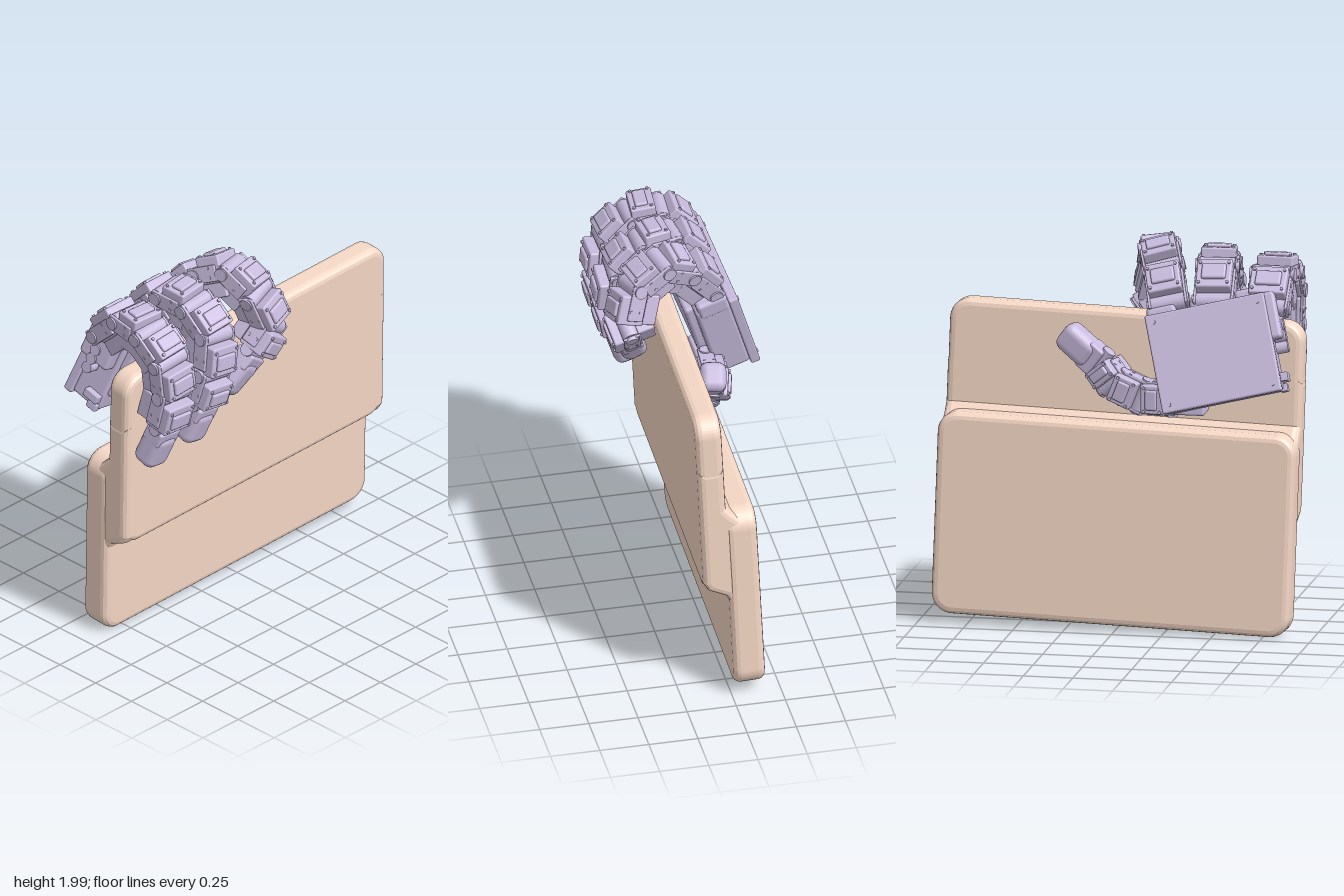
import * as THREE from 'three';
import { RoundedBoxGeometry } from 'three/addons/geometries/RoundedBoxGeometry.js';

const tan = new THREE.MeshStandardMaterial({ color: 0xf6d8c6 });
const lilac = new THREE.MeshStandardMaterial({ color: 0xc8bcde });
const V = (x, y, z) => new THREE.Vector3(x, y, z);

function add(parent, name, geometry, x, y, z, material = lilac) {
  const mesh = new THREE.Mesh(geometry, material);
  mesh.name = name;
  mesh.position.set(x, y, z);
  parent.add(mesh);
  return mesh;
}
const box = (p, name, w, h, d, x, y, z, r = 0.012) =>
  add(p, name, new RoundedBoxGeometry(w, h, d, 2, r), x, y, z);

// Cylinder lying along the local axis 'x', 'y' or 'z'
function disc(p, name, radius, length, axis, x, y, z) {
  const g = new THREE.CylinderGeometry(radius, radius, length, 16);
  if (axis === 'x') g.rotateZ(Math.PI / 2);
  if (axis === 'z') g.rotateX(Math.PI / 2);
  return add(p, name, g, x, y, z);
}

// Group at a point whose axes are the given width axis, y direction, and their normal
function frame(name, origin, widthAxis, along) {
  const y = along.clone().normalize();
  const x = widthAxis.clone().addScaledVector(y, -widthAxis.dot(y)).normalize();
  const g = new THREE.Group();
  g.name = name;
  g.quaternion.setFromRotationMatrix(new THREE.Matrix4().makeBasis(x, y, x.clone().cross(y)));
  g.position.copy(origin);
  return g;
}

// Rounded slab standing in the y-z plane, from x0 to x1
function board(parent, name, x0, x1, y0, y1, width) {
  const bevel = 0.035, r = 0.07;
  const w = width / 2 - bevel, lo = y0 + bevel, hi = y1 - bevel;
  const s = new THREE.Shape();
  s.moveTo(-w + r, lo);
  s.lineTo(w - r, lo).absarc(w - r, lo + r, r, -Math.PI / 2, 0, false);
  s.lineTo(w, hi - r).absarc(w - r, hi - r, r, 0, Math.PI / 2, false);
  s.lineTo(-w + r, hi).absarc(-w + r, hi - r, r, Math.PI / 2, Math.PI, false);
  s.lineTo(-w, lo + r).absarc(-w + r, lo + r, r, Math.PI, Math.PI * 1.5, false);
  const g = new THREE.ExtrudeGeometry(s, {
    depth: x1 - x0 - 2 * bevel, bevelThickness: bevel, bevelSize: bevel, bevelSegments: 3, curveSegments: 6
  });
  g.translate(0, 0, x0 + bevel).rotateY(Math.PI / 2);
  add(parent, name, g, 0, 0, 0, tan);
}

function buildBoards() {
  const boards = new THREE.Group();
  boards.name = 'boards';
  boards.position.y = 0.8;
  boards.rotation.set(0.028, -0.02, -0.044);
  board(boards, 'upperBoard', -0.005, 0.13, -0.205, 0.79, 1.8);
  board(boards, 'lowerBoard', -0.155, 0.005, -0.78, 0.24, 1.82);
  // Stepped core that merges the two slabs, with sloped fillets at both steps
  const profile = [[-0.155, -0.4], [0.005, -0.4], [0.005, -0.27], [0.02, -0.24], [0.108, -0.195],
    [0.13, -0.155], [0.13, 0.5], [-0.005, 0.5], [-0.005, 0.27], [-0.035, 0.235], [-0.1, 0.17], [-0.155, 0.08]];
  const g = new THREE.ExtrudeGeometry(new THREE.Shape(profile.map(p => new THREE.Vector2(...p))), {
    depth: 1.735, bevelThickness: 0.035, bevelSize: 0.035, bevelOffset: -0.035, bevelSegments: 3
  });
  add(boards, 'joiningCore', g, 0, 0, -0.8675, tan);
  return boards;
}

// One motor joint: casing, inner bracket, side brackets, pivot and screws
function link(parent, a, b, ref, width, depth) {
  const dir = b.clone().sub(a), len = dir.length();
  const g = frame('fingerLink', a, ref, dir);
  box(g, 'motorCase', width * 0.86, len * 0.78, depth, 0, len * 0.54, 0.012, 0.01);
  box(g, 'motorCap', width * 0.6, len * 0.4, 0.03, 0, len * 0.56, 0.012 + depth / 2, 0.01);
  box(g, 'innerBracket', width * 0.7, len * 0.8, 0.12, 0, len * 0.5, -0.075, 0.008);
  for (const s of [-1, 1]) {
    box(g, 'sideBracket', 0.014, len * 0.95, depth * 0.6, s * width * 0.46, len * 0.32, -0.005, 0.005);
    disc(g, 'pivotDisc', depth * 0.24, 0.02, 'x', s * width * 0.49, 0, -0.005);
    for (const t of [-1, 1]) {
      disc(g, 'screw', 0.008, 0.012, 'z', s * width * 0.35, len * (0.54 + t * 0.27), 0.014 + depth / 2);
      disc(g, 'sideScrew', 0.008, 0.012, 'x', s * width * 0.48, len * 0.55, t * 0.025);
    }
  }
  disc(g, 'pivotPin', depth * 0.3, width * 0.85, 'x', 0, 0, -0.005);
  parent.add(g);
}

// Chain of links through the points, with a rounded pad on the last one
function finger(name, points, ref, width, depth) {
  const g = new THREE.Group();
  g.name = name;
  const p = points.map(q => V(...q)), n = p.length - 1;
  for (let i = 0; i < n - 1; i++) link(g, p[i], p[i + 1], ref, width, depth);
  const dir = p[n].clone().sub(p[n - 1]), len = dir.length();
  const tip = frame('fingertip', p[n - 1], ref, dir);
  box(tip, 'tipPad', 0.15, len * 0.85, 0.135, 0, len * 0.575, 0, 0.045);
  box(tip, 'tipSocket', 0.15, len * 0.35, 0.11, 0, len * 0.2, 0);
  disc(tip, 'tipPivot', 0.035, 0.17, 'x', 0, 0, 0);
  g.add(tip);
  return g;
}

function buildPalm() {
  // Local x runs across the knuckles, y toward the fingers, z out of the back of the hand
  const palm = frame('palm', V(-0.41, 1.17, 0.29), V(0.115, 0.245, 0.963), V(0.287, 0.926, -0.243));
  box(palm, 'backPlate', 0.61, 0.5, 0.05, 0.305, 0.25, -0.025, 0.01);
  box(palm, 'palmBody', 0.59, 0.48, 0.18, 0.305, 0.255, -0.135, 0.02);
  box(palm, 'palmPad', 0.5, 0.36, 0.06, 0.33, 0.29, -0.24, 0.02);
  for (const x of [0.04, 0.57]) for (const y of [0.04, 0.46])
    disc(palm, 'plateScrew', 0.011, 0.012, 'z', x, y, 0);
  // Fittings on the front edge
  box(palm, 'sideMotor', 0.1, 0.24, 0.19, 0.61, 0.38, -0.105, 0.02);
  for (let i = 0; i < 3; i++) disc(palm, 'cableGland', 0.03, 0.06, 'x', 0.64, 0.22 + i * 0.055, -0.1);
  box(palm, 'connector', 0.05, 0.045, 0.09, 0.61, 0.08, -0.17, 0.006);
  box(palm, 'connectorLow', 0.04, 0.04, 0.06, 0.6, 0.03, -0.19, 0.006);
  // Raised blocks along the knuckle edge
  for (const x of [0.08, 0.3, 0.53]) box(palm, 'knuckleMount', 0.15, 0.1, 0.16, x, 0.49, -0.13, 0.02);
  return palm;
}

export function createModel() {
  const model = new THREE.Group();
  model.name = 'handHoldingBoards';
  model.add(buildBoards());

  const hand = new THREE.Group();
  hand.name = 'roboticHand';
  hand.add(buildPalm());
  const across = V(0, 0, 1);
  hand.add(finger('frontFinger', [[-0.15, 1.68, 0.77], [0, 1.82, 0.77], [0.16, 1.8, 0.78],
    [0.29, 1.68, 0.77], [0.305, 1.49, 0.76], [0.27, 1.3, 0.78], [0.19, 1.08, 0.82]], across, 0.215, 0.14));
  hand.add(finger('middleFinger', [[-0.15, 1.7, 0.5], [0, 1.85, 0.49], [0.17, 1.83, 0.47],
    [0.305, 1.7, 0.46], [0.315, 1.5, 0.49], [0.28, 1.33, 0.52], [0.21, 1.12, 0.57]], across, 0.205, 0.14));
  hand.add(finger('rearFinger', [[-0.15, 1.68, 0.27], [-0.02, 1.83, 0.22], [0.13, 1.9, 0.17],
    [0.28, 1.8, 0.14], [0.33, 1.62, 0.09], [0.3, 1.49, 0.19], [0.23, 1.31, 0.35]], V(0.1, 0.2, 1), 0.2, 0.14));
  hand.add(finger('thumb', [[-0.13, 1.19, 0.28], [-0.12, 1.19, 0.13], [-0.1, 1.25, -0.02],
    [-0.08, 1.34, -0.09], [-0.04, 1.49, -0.28]], V(0, 1, 0), 0.17, 0.13));
  box(hand, 'thumbMount', 0.13, 0.14, 0.2, -0.14, 1.19, 0.36);
  model.add(hand);
  return model;
}
